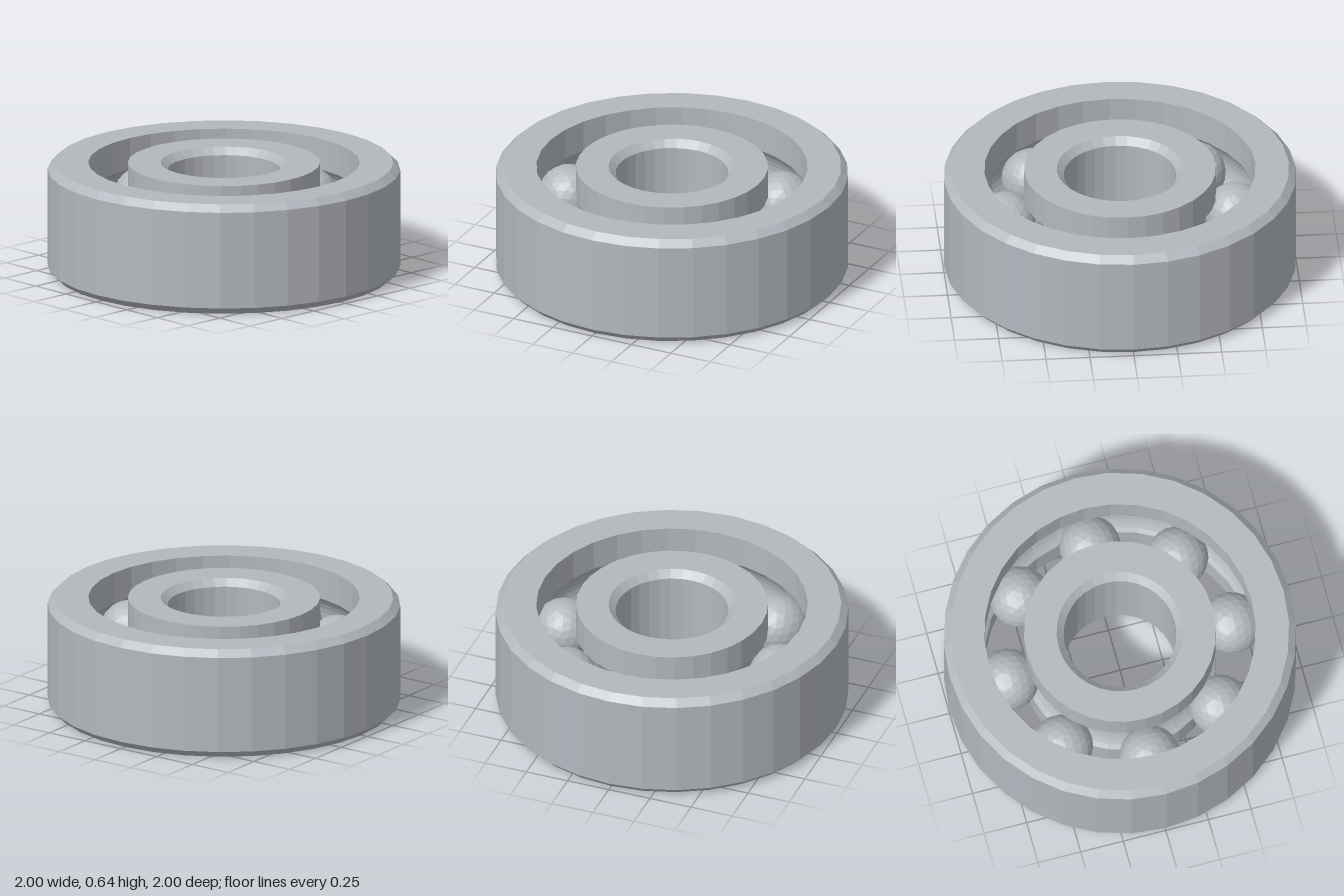
import * as THREE from 'three';

const H = 0.64, C = 0.04;          // ring height, chamfer
const PITCH = 0.655, GROOVE = 0.18; // ball circle radius, raceway radius
const BALLS = 8, SIDES = 32;

// Raceway arc between two angles around the ball centre
function raceway(from, to, steps = 10) {
  return Array.from({ length: steps + 1 }, (_, i) => {
    const a = from + (to - from) * i / steps;
    return [PITCH + GROOVE * Math.cos(a), H / 2 + GROOVE * Math.sin(a)];
  });
}

// Closed profile (outer side going up) spun around y
function ring(name, profile, material) {
  const pts = [...profile, profile[0]].map(([r, y]) => new THREE.Vector2(r, y));
  const mesh = new THREE.Mesh(new THREE.LatheGeometry(pts, SIDES), material);
  mesh.name = name;
  return mesh;
}

export function createModel() {
  const group = new THREE.Group();
  group.name = 'ballBearing';
  const steel = new THREE.MeshStandardMaterial({ color: 0xb4b8be, flatShading: true });
  steel.name = 'steel';

  // Outer ring: chamfered outside, grooved inside
  const ro = 0.77, ao = Math.acos((ro - PITCH) / GROOVE);
  group.add(ring('outerRing', [
    [1 - C, 0], [1, C], [1, H - C], [1 - C, H],
    [ro, H], ...raceway(ao, -ao), [ro, 0],
  ], steel));

  // Inner ring: grooved outside, chamfered bore
  const ri = 0.545, bore = 0.32, ai = Math.acos((PITCH - ri) / GROOVE);
  group.add(ring('innerRing', [
    [ri, 0], ...raceway(Math.PI + ai, Math.PI - ai), [ri, H],
    [bore + C, H], [bore, H - C], [bore, C], [bore + C, 0],
  ], steel));

  // Balls, each with a vertex pointing up
  const ballGeometry = new THREE.IcosahedronGeometry(0.175, 3);
  ballGeometry.rotateZ(Math.atan(2 / (1 + Math.sqrt(5))));
  for (let i = 0; i < BALLS; i++) {
    const a = i / BALLS * Math.PI * 2;
    const ball = new THREE.Mesh(ballGeometry, steel);
    ball.name = `ball${i + 1}`;
    ball.position.set(PITCH * Math.sin(a), H / 2, PITCH * Math.cos(a));
    group.add(ball);
  }
  return group;
}
